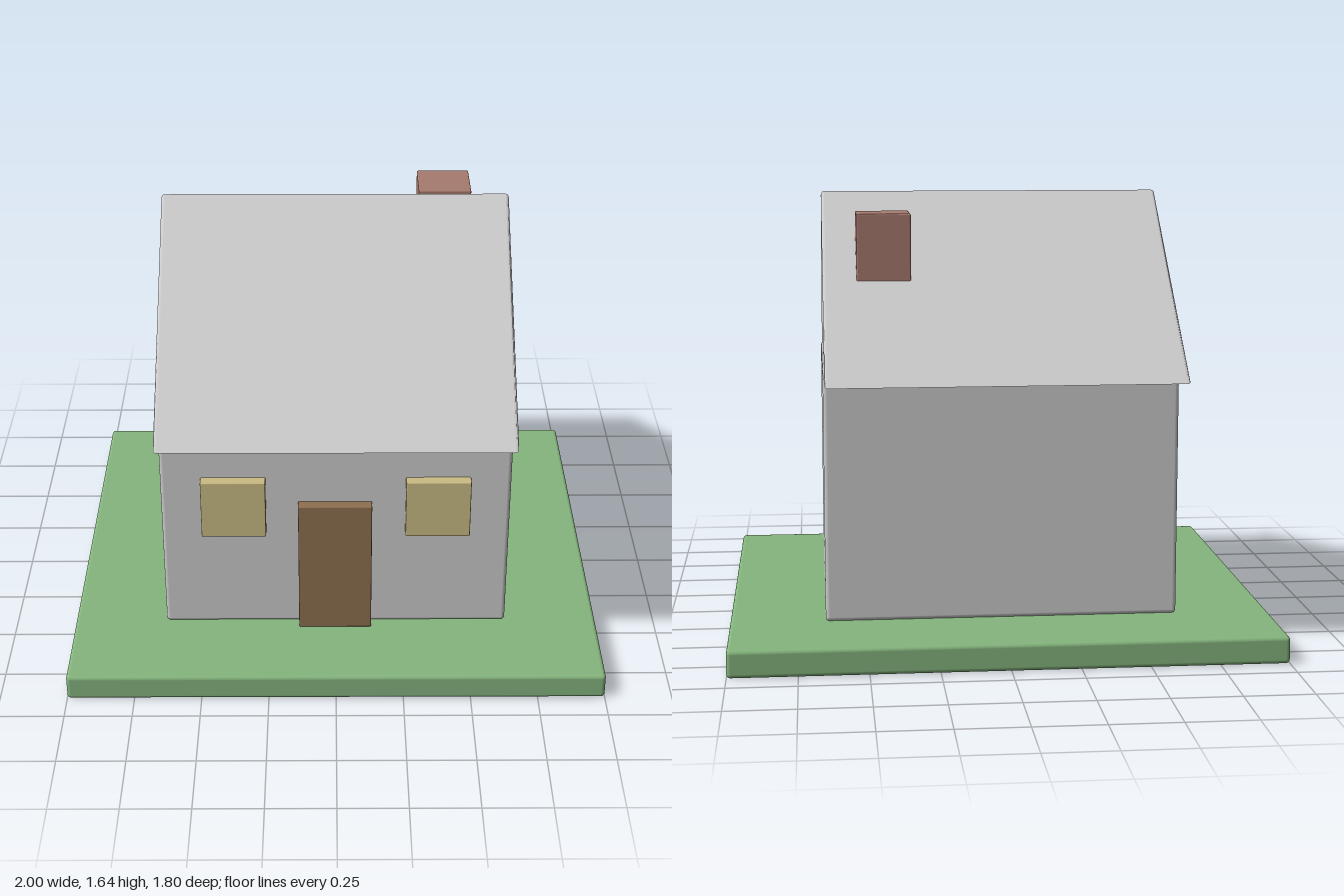
import * as THREE from 'three';
import { RoundedBoxGeometry } from 'three/addons/geometries/RoundedBoxGeometry.js';

const material = (name, color) => {
  const m = new THREE.MeshStandardMaterial({ color });
  m.name = name;
  return m;
};

export function createModel() {
  const house = new THREE.Group();
  house.name = 'house';

  const plaster = material('light grey', 0xcccccc);
  const grass = material('grass green', 0x85b57e);
  const wood = material('door brown', 0x8f7050);
  const glass = material('window yellow', 0xcabb84);
  const brick = material('chimney red brown', 0xa67a6e);

  const add = (name, geometry, mat) => {
    const mesh = new THREE.Mesh(geometry, mat);
    mesh.name = name;
    house.add(mesh);
    return mesh;
  };

  // Box given by its lower and upper corners, with softly rounded edges
  const block = (name, mat, [x0, y0, z0], [x1, y1, z1], radius) => {
    const geometry = new RoundedBoxGeometry(x1 - x0, y1 - y0, z1 - z0, 3, radius);
    geometry.translate((x0 + x1) / 2, (y0 + y1) / 2, (z0 + z1) / 2);
    return add(name, geometry, mat);
  };

  // Lawn and walls
  block('lawn', grass, [-1, 0, -0.9], [1, 0.1, 0.9], 0.015);
  block('walls', plaster, [-0.65, 0.1, -0.55], [0.65, 1, 0.55], 0.015);

  // Gable roof: a solid triangle extruded along x with bevelled gable edges
  const bevel = 0.012, halfLength = 0.645;
  const gable = new THREE.Shape([
    new THREE.Vector2(-0.79, 1),
    new THREE.Vector2(0.79, 1),
    new THREE.Vector2(0, 1.645),
  ]);
  const roof = new THREE.ExtrudeGeometry(gable, {
    depth: 2 * (halfLength - bevel),
    bevelThickness: bevel,
    bevelSize: bevel,
    bevelOffset: -bevel,
    bevelSegments: 3,
  });
  roof.translate(0, 0, -(halfLength - bevel));
  roof.rotateY(Math.PI / 2);
  add('roof', roof, plaster);

  // Chimney on the back slope
  block('chimney', brick, [0.32, 1.15, -0.38], [0.52, 1.58, -0.18], 0.006);

  // Door and the pair of front windows
  block('door', wood, [-0.14, 0.1, 0.53], [0.135, 0.645, 0.59], 0.004);
  for (const [name, x] of [['rightWindow', -0.38], ['leftWindow', 0.38]]) {
    block(name, glass, [x - 0.12, 0.515, 0.53], [x + 0.12, 0.75, 0.59], 0.004);
  }

  return house;
}
